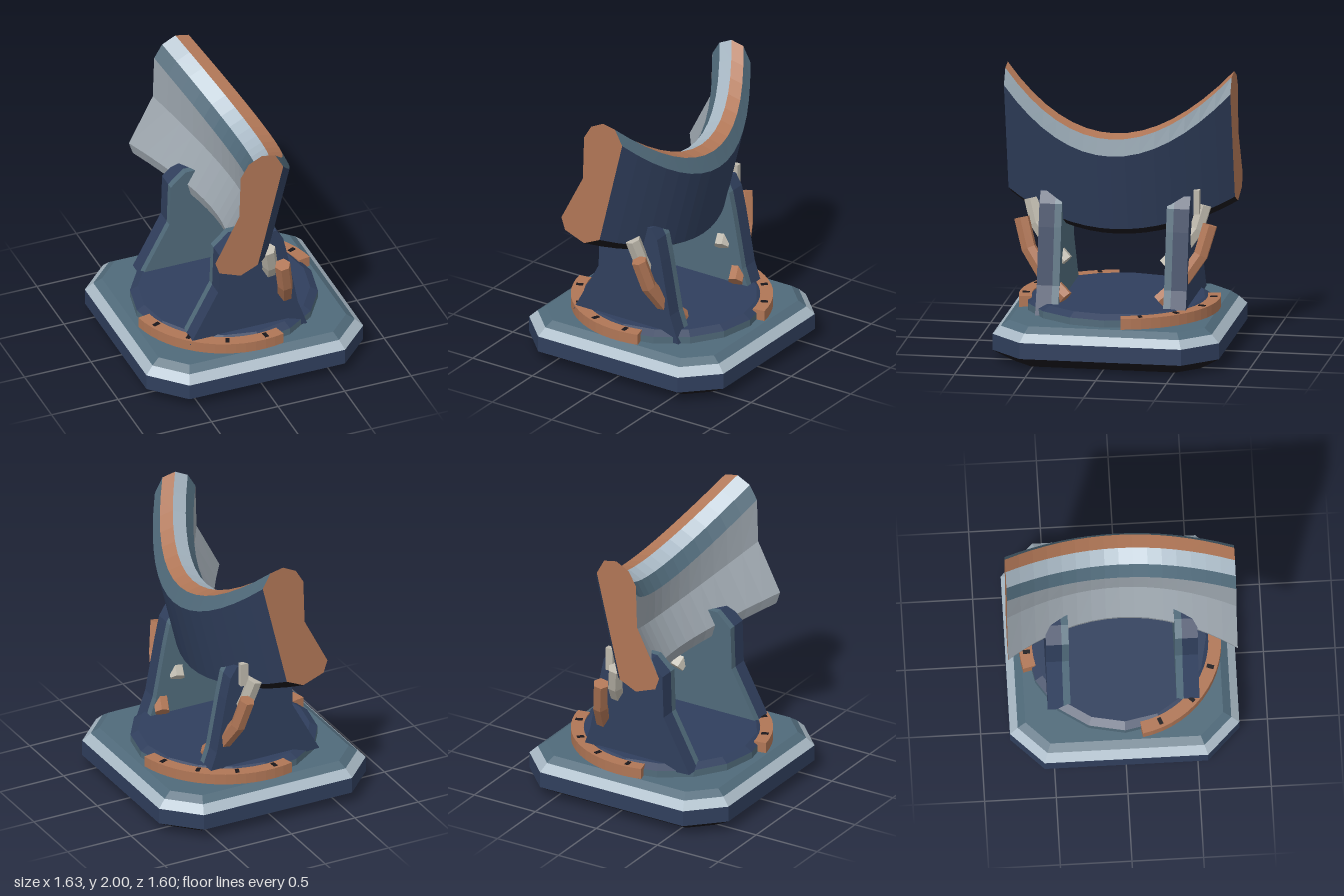
import * as THREE from 'three';

const mat = (name, color) => {
  const m = new THREE.MeshStandardMaterial({ color });
  m.name = name;
  return m;
};
const V = (x, y, z) => new THREE.Vector3(x, y, z);

// Flat-faced band of quads between two rows of points
function strip(a, b) {
  const pts = [];
  for (let i = 0; i < a.length - 1; i++) {
    pts.push(a[i], a[i + 1], b[i + 1], a[i], b[i + 1], b[i]);
  }
  const g = new THREE.BufferGeometry().setFromPoints(pts);
  g.computeVertexNormals();
  return g;
}

function flat(geometry) {
  const g = geometry.index ? geometry.toNonIndexed() : geometry;
  g.computeVertexNormals();
  return g;
}

const toShape = (pts) => new THREE.Shape(pts.map(([x, y]) => new THREE.Vector2(x, y)));

export function createModel() {
  const copper = mat('copper', 0xb07656);
  const steel = mat('steel blue', 0x506a7a);
  const pale = mat('pale steel', 0xa9b9c5);
  const grey = mat('panel grey', 0x99a2aa);
  const navy = mat('navy', 0x303f5d);
  const charcoal = mat('charcoal', 0x19171c);
  const bone = mat('bone', 0xbdb8ac);

  const model = new THREE.Group();
  const add = (name, geometry, material, parent = model) => {
    const m = new THREE.Mesh(geometry, material);
    m.name = name;
    parent.add(m);
    return m;
  };

  // Base: stacked octagon rings, each inset from the outer outline
  const octagon = (inset, y) => {
    const X = 0.815 - inset, Z = 0.8 - inset, k = inset * 0.414;
    const cx = 0.585 - k, cz = 0.57 - k;
    return [[-cx, Z], [cx, Z], [X, cz], [X, -cz], [cx, -Z], [-cx, -Z], [-X, -cz], [-X, cz], [-cx, Z]]
      .map(([x, z]) => V(x, y, z));
  };
  const centre = (y) => Array.from({ length: 9 }, () => V(0, y, 0));
  const rings = [centre(0), octagon(0.14, 0), octagon(0, 0.085), octagon(0, 0.2),
    octagon(0.055, 0.255), octagon(0.11, 0.295), centre(0.295)];
  const baseParts = [['baseUnderside', charcoal], ['baseLowerBevel', charcoal], ['baseSide', navy],
    ['baseRim', pale], ['baseUpperBevel', steel], ['baseTop', steel]];
  baseParts.forEach(([name, m], i) => add(name, strip(rings[i], rings[i + 1]), m));

  // Turntable
  add('turntableSide', flat(new THREE.CylinderGeometry(0.655, 0.655, 0.05, 16)), steel).position.y = 0.32;
  add('turntableTop', flat(new THREE.CylinderGeometry(0.6, 0.655, 0.033, 16)), navy).position.y = 0.3615;

  // Two curved rails with dark inset marks, opposite each other
  const deg = Math.PI / 180;
  const arc = new THREE.Shape();
  arc.absarc(0, 0, 0.705, 10 * deg, 104 * deg, false);
  arc.absarc(0, 0, 0.615, 104 * deg, 10 * deg, true);
  const railGeo = flat(new THREE.ExtrudeGeometry(arc, { depth: 0.077, bevelEnabled: false, curveSegments: 8 }));
  railGeo.rotateX(-Math.PI / 2);
  for (const turn of [0, Math.PI]) {
    const rail = new THREE.Group();
    rail.name = turn ? 'frontRail' : 'rearRail';
    rail.rotation.y = turn;
    add('railBody', railGeo, copper, rail).position.y = 0.295;
    for (const a of [22, 46, 70, 94]) {
      const mark = add('railMark', new THREE.BoxGeometry(0.05, 0.008, 0.028), charcoal, rail);
      mark.position.set(0.657 * Math.cos(a * deg), 0.373, -0.657 * Math.sin(a * deg));
      mark.rotation.y = a * deg;
    }
    model.add(rail);
  }

  // Supports: navy outer slab with a steel inner slab
  const supportShape = toShape([[-0.47, 0.34], [0.41, 0.3], [0.34, 0.5], [0.265, 0.9], [0.23, 1.06],
    [0.18, 1.14], [-0.14, 1.14], [-0.25, 1.04], [-0.26, 0.73]]);
  const slab = (depth) => new THREE.ExtrudeGeometry(supportShape, { depth, bevelEnabled: false });

  // Struts: bent six-sided bars passing through the supports
  const hexagon = toShape(Array.from({ length: 6 }, (_, i) =>
    [0.056 * Math.cos(i * Math.PI / 3), 0.056 * Math.sin(i * Math.PI / 3)]));
  const bar = (pts, s) => flat(new THREE.ExtrudeGeometry(hexagon, {
    steps: 3, bevelEnabled: false,
    extrudePath: new THREE.CatmullRomCurve3(pts.map(([x, y, z]) => V(x, y, z * s))),
  }));
  for (const s of [1, -1]) {
    const side = s > 0 ? 'front' : 'rear';
    add(side + 'SupportOuter', slab(0.11), navy).position.z = s > 0 ? 0.42 : -0.53;
    add(side + 'SupportInner', slab(0.05), steel).position.z = s > 0 ? 0.37 : -0.42;
    add(side + 'CopperStrut', bar([[0.17, 0.94, 0.665], [0.205, 0.76, 0.62], [0.255, 0.57, 0.5], [0.31, 0.41, 0.33]], s), copper);
    add(side + 'BoneStrut', bar([[0.08, 1.06, 0.61], [0.115, 0.9, 0.565], [0.15, 0.75, 0.46], [0.18, 0.64, 0.35]], s), bone);
  }
  add('rearBracket', new THREE.BoxGeometry(0.06, 0.17, 0.04), bone).position.set(0.15, 1.1, -0.57);

  // Shield: [end x, end y, shift x, shift y] per corner; the shift is full at mid-length
  const profile = [
    [-0.39, 1.18, 0.34, -0.185], [-0.21, 1.53, 0.295, -0.3], [-0.2, 1.85, 0.28, -0.41],
    [-0.14, 1.95, 0.28, -0.41], [-0.04, 2.0, 0.285, -0.41], [0.06, 1.98, 0.29, -0.41],
    [0.12, 1.87, 0.28, -0.41], [-0.07, 1.09, 0.33, -0.185], [-0.2, 1.03, 0.33, -0.19],
    [-0.36, 1.09, 0.335, -0.185],
  ];
  const row = ([x, y, dx, dy]) => Array.from({ length: 17 }, (_, i) => {
    const t = i / 8 - 1, k = 1 - t * t;
    return V(x + dx * k, y + dy * k, 0.8 * t);
  });
  const shieldParts = [['shieldInnerLower', grey], ['shieldInnerUpper', grey], ['shieldInnerTrim', steel],
    ['shieldTopPale', pale], ['shieldTopCopper', copper], ['shieldOuterTrim', steel],
    ['shieldOuter', navy], ['shieldUnderOuter', charcoal], ['shieldUnderInner', charcoal], ['shieldLowerEdge', grey]];
  const shield = new THREE.Group();
  shield.name = 'shield';
  shieldParts.forEach(([name, m], i) =>
    add(name, strip(row(profile[i]), row(profile[(i + 1) % profile.length])), m, shield));

  // Shield end faces
  for (const s of [1, -1]) {
    const cap = add('shieldEnd', new THREE.ShapeGeometry(toShape(profile.map(([x, y]) => [x * s, y]))), copper, shield);
    cap.position.z = 0.8 * s;
    cap.rotation.y = s > 0 ? 0 : Math.PI;
  }
  model.add(shield);
  return model;
}
